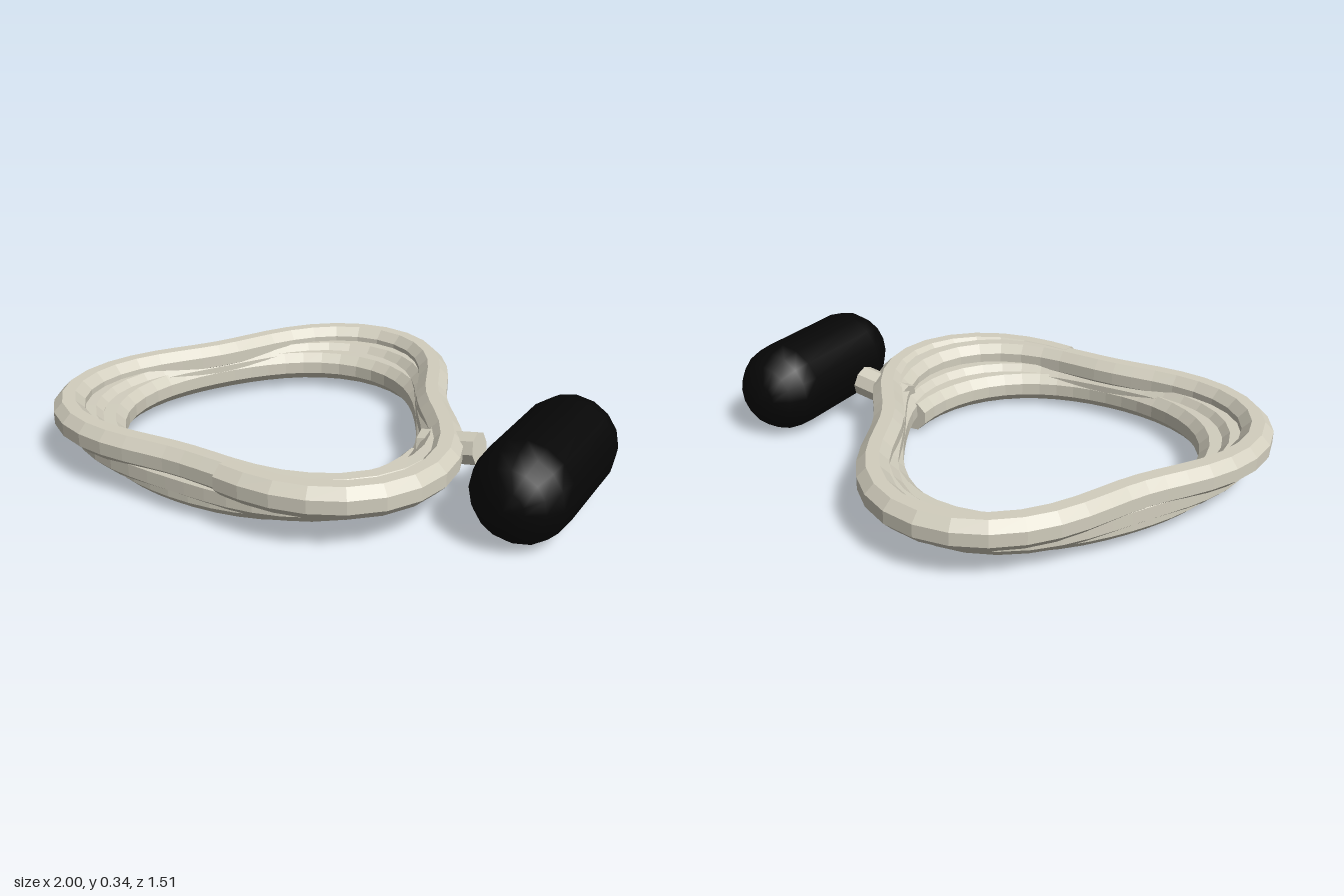
import * as THREE from 'three';

const TAU = Math.PI * 2;
const TURNS = 3.2;

// Point on the coil: a circle that swells into a three-lobed loop;
// the lower turns rise gently, then step up to a level top turn
function coilPoint(s) {
  const turn = s * TURNS;
  const a = turn * TAU;
  const r = 0.57 + (0.013 + 0.0365 * turn) * (1 + Math.sin(3 * a));
  const low = 0.075 + 0.025 * turn - 0.008 * Math.cos(a);
  const y = THREE.MathUtils.lerp(low, 0.172, THREE.MathUtils.smoothstep(turn, 1.7, 2.25));
  return new THREE.Vector3(-0.22 + r * Math.cos(a), y, 0.095 + r * Math.sin(a));
}

// Octagonal tube with level top faces and closed ends, swept along a path
function sweepOctagon(pathPoint, segments, radius) {
  const sides = 8, positions = [], index = [];
  for (let i = 0; i <= segments; i++) {
    const s = i / segments;
    const p = pathPoint(s);
    const t = pathPoint(s + 0.001).sub(pathPoint(s - 0.001)).setY(0).normalize();
    for (let j = 0; j < sides; j++) {
      const f = ((j + 0.5) / sides) * TAU;
      const out = Math.cos(f) * radius;
      positions.push(p.x + t.z * out, p.y + Math.sin(f) * radius, p.z - t.x * out);
    }
  }
  for (let i = 0; i < segments; i++) {
    for (let j = 0; j < sides; j++) {
      const a = i * sides + j, b = i * sides + ((j + 1) % sides);
      index.push(a, b, a + sides, b, b + sides, a + sides);
    }
  }
  // End caps as fans
  const last = segments * sides;
  for (let j = 1; j < sides - 1; j++) {
    index.push(0, j + 1, j, last, last + j, last + j + 1);
  }
  const geometry = new THREE.BufferGeometry();
  geometry.setAttribute('position', new THREE.Float32BufferAttribute(positions, 3));
  geometry.setIndex(index);
  const flat = geometry.toNonIndexed();
  flat.computeVertexNormals();
  return flat;
}

export function createModel() {
  const model = new THREE.Group();
  const bone = new THREE.MeshStandardMaterial({ color: 0xd2cebe, flatShading: true });
  bone.name = 'bone';
  const black = new THREE.MeshStandardMaterial({ color: 0x060606 });
  black.name = 'black';

  // Rising coil
  const coil = new THREE.Mesh(sweepOctagon(coilPoint, 150, 0.061), bone);
  coil.name = 'coil';
  model.add(coil);

  // Short stub reaching from the coil towards the capsule
  const from = new THREE.Vector3(0.38, 0.14, 0.085);
  const to = new THREE.Vector3(0.59, 0.175, 0.085);
  const dir = to.clone().sub(from);
  const stub = new THREE.Mesh(new THREE.CylinderGeometry(0.06, 0.06, dir.length(), 8), bone);
  stub.name = 'stub';
  stub.position.copy(from).add(to).multiplyScalar(0.5);
  stub.quaternion.setFromUnitVectors(new THREE.Vector3(0, 1, 0), dir.normalize());
  model.add(stub);

  // Detached black capsule lying along z
  const capsule = new THREE.Mesh(new THREE.CapsuleGeometry(0.172, 0.39, 4, 16), black);
  capsule.name = 'capsule';
  capsule.rotation.x = Math.PI / 2;
  capsule.position.set(0.828, 0.172, 0.0875);
  model.add(capsule);

  return model;
}
